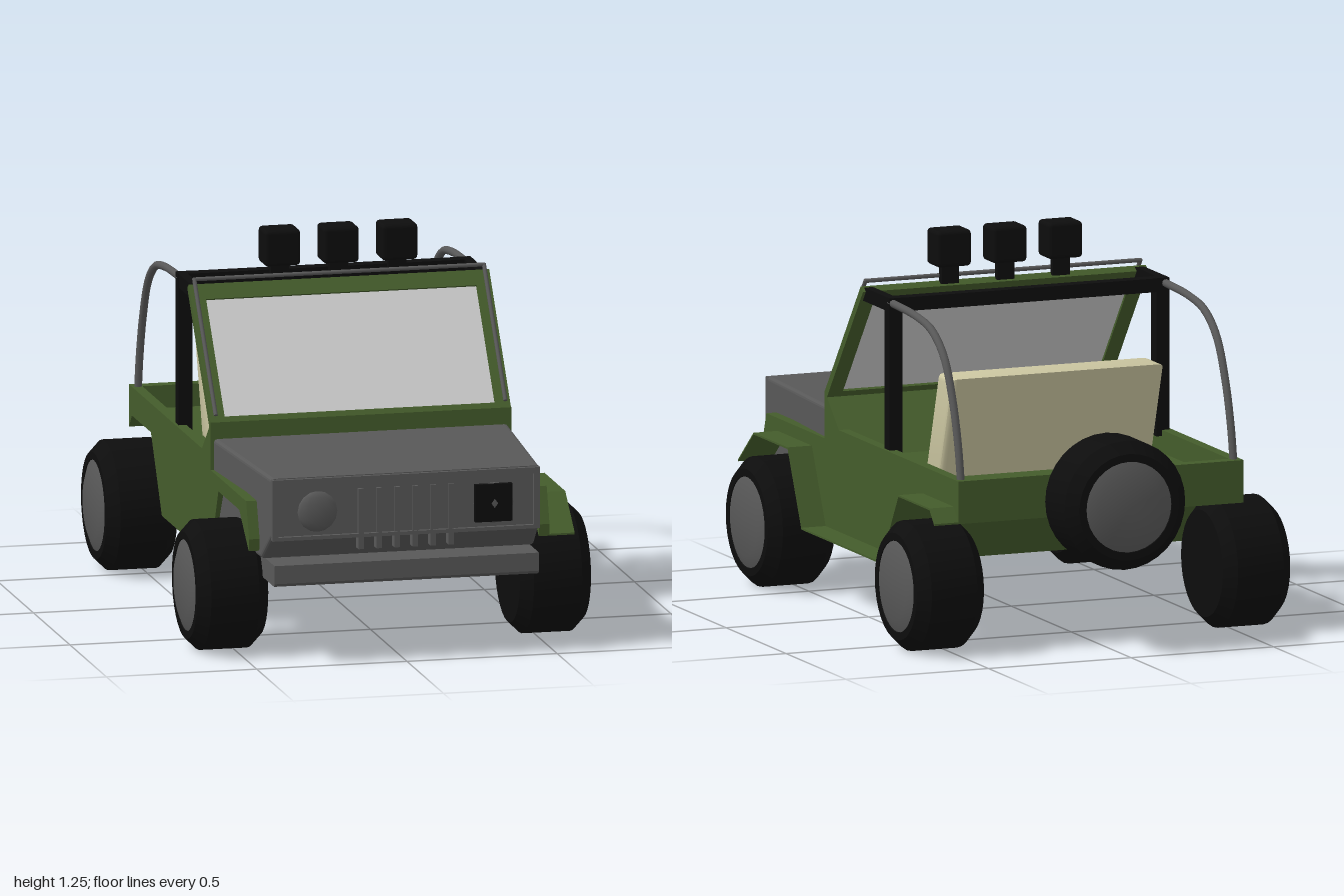
import * as THREE from 'three';
import { toCreasedNormals } from 'three/addons/utils/BufferGeometryUtils.js';
import { RoundedBoxGeometry } from 'three/addons/geometries/RoundedBoxGeometry.js';

const mat = (color) => new THREE.MeshStandardMaterial({ color, side: THREE.DoubleSide });
const green = mat(0x445c2b), grey = mat(0x585858), black = mat(0x0d0d0d);
const cream = mat(0xcac5a0), pane = mat(0xcccccc);

function add(parent, name, geometry, material, x = 0, y = 0, z = 0) {
  const mesh = new THREE.Mesh(geometry, material);
  mesh.name = name;
  mesh.position.set(x, y, z);
  parent.add(mesh);
  return mesh;
}

const box = (w, h, d) => new THREE.BoxGeometry(w, h, d);
const shapeOf = (pts) => new THREE.Shape(pts.map(([a, b]) => new THREE.Vector2(a, b)));
const rect = (w, y0, y1) => shapeOf([[-w, y0], [w, y0], [w, y1], [-w, y1]]);

// Extrudes a [z, y] side profile across x, centred on x = 0
function acrossX(pts, width, bevel = 0) {
  const g = new THREE.ExtrudeGeometry(shapeOf(pts), {
    depth: width - 2 * bevel, bevelEnabled: bevel > 0, bevelSize: bevel,
    bevelThickness: bevel, bevelOffset: -bevel, bevelSegments: 3,
  });
  g.translate(0, 0, -(width - 2 * bevel) / 2);
  return g.rotateY(-Math.PI / 2);
}

// Tyre and stepped hub; the axle lies along x with the hub on +x
function makeWheel(name) {
  const wheel = new THREE.Group();
  wheel.name = name;
  const lathe = (pts) => toCreasedNormals(
    new THREE.LatheGeometry(pts.map(([r, h]) => new THREE.Vector2(r, h)), 32).rotateZ(-Math.PI / 2), 0.5);
  add(wheel, 'tyre', lathe([[0, -0.118], [0.175, -0.118], [0.212, -0.08], [0.212, 0.08],
    [0.175, 0.118], [0.15, 0.118], [0.145, 0.105], [0, 0.105]]), black);
  add(wheel, 'hub', lathe([[0.152, 0.1], [0.15, 0.114], [0.11, 0.129], [0, 0.129]]), grey);
  return wheel;
}

function makeBody() {
  const body = new THREE.Group();
  body.name = 'body';
  const under = [[-0.75, 0.435], [-0.71, 0.48], [-0.45, 0.48], [-0.3, 0.235], [0.36, 0.235]];
  // Tub with floor, rear wall and sloped cowl
  add(body, 'tub', acrossX([...under, [0.37, 0.26], [0.37, 0.685], [0.17, 0.5], [-0.71, 0.5],
    [-0.71, 0.575], [-0.75, 0.575]], 0.95), green);
  // Side panels with wheel arches
  const arch = [...under, [0.475, 0.48], [0.76, 0.48], [0.89, 0.37]];
  for (const s of [-1, 1]) {
    add(body, 'sidePanel', acrossX([...arch, [0.895, 0.41], [0.855, 0.528], [0.37, 0.528],
      [0.37, 0.685], [0.25, 0.575], [-0.75, 0.575]], 0.035), green, s * 0.4825);
  }
  // Thin flare along the lower edge, on the left side only
  const t = 0.006;
  const upper = arch.map(([z, y]) => [z, y + t]).reverse();
  add(body, 'archFlare', acrossX([...arch, ...upper], 0.085), green, 0.5425);
  return body;
}

function makeNose() {
  const nose = new THREE.Group();
  nose.name = 'nose';
  // Bonnet narrows towards the front
  const g = acrossX([[0.36, 0.63], [0.98, 0.625], [0.98, 0.43], [0.87, 0.34], [0.42, 0.34],
    [0.36, 0.5]], 0.98, 0.012);
  const p = g.attributes.position;
  for (let i = 0; i < p.count; i++) {
    p.setX(i, p.getX(i) * (1 - 0.09 * (p.getZ(i) - 0.36) / 0.63));
  }
  g.computeVertexNormals();
  add(nose, 'bonnet', g, grey);
  // Grille surround with ribs
  const surround = rect(0.445, 0.42, 0.622);
  surround.holes.push(rect(0.425, 0.432, 0.602));
  add(nose, 'grilleSurround', new THREE.ExtrudeGeometry(surround, { depth: 0.025, bevelEnabled: false }),
    grey, 0, 0, 0.968);
  for (let i = 0; i < 6; i++) {
    add(nose, 'grilleRib', box(0.018, 0.2, 0.035), grey, -0.15 + i * 0.06, 0.48, 0.973);
  }
  for (const s of [-1, 1]) {
    const lamp = add(nose, 'headlight', new THREE.SphereGeometry(0.068, 12, 8), grey, s * 0.293, 0.51, 0.978);
    lamp.scale.z = 0.3;
  }
  add(nose, 'headlightCover', box(0.124, 0.124, 0.025), black, 0.29, 0.512, 0.985);
  add(nose, 'bumperTray', acrossX([[0.41, 0.27], [0.99, 0.27], [0.998, 0.28], [0.998, 0.34],
    [0.41, 0.34]], 0.88), grey);
  return nose;
}

function makeWindscreen() {
  // Built upright, then leaned back about its lower edge
  const screen = new THREE.Group();
  screen.name = 'windscreen';
  const h = 0.5;
  const frame = rect(0.5, 0, h);
  frame.holes.push(rect(0.45, 0.025, h - 0.055));
  add(screen, 'windscreenFrame', new THREE.ExtrudeGeometry(frame, { depth: 0.025, bevelEnabled: false }),
    green, 0, 0, -0.025);
  add(screen, 'glass', box(0.9, h - 0.08, 0.008), pane, 0, h / 2 - 0.015, -0.012);
  for (const s of [-1, 1]) {
    add(screen, 'frameRod', new THREE.CylinderGeometry(0.007, 0.007, h - 0.01, 8), grey, s * 0.482, h / 2 + 0.02, 0.012);
  }
  add(screen, 'topRod', new THREE.CylinderGeometry(0.007, 0.007, 0.97, 8).rotateZ(Math.PI / 2), grey, 0, h + 0.012, 0.012);
  screen.position.set(0, 0.68, 0.37);
  screen.rotation.x = -Math.atan2(0.3, 0.395);
  return screen;
}

function makeRollCage() {
  const cage = new THREE.Group();
  cage.name = 'rollCage';
  add(cage, 'crossBar', box(0.98, 0.045, 0.045), black, 0, 1.052, -0.13);
  const hoop = new THREE.CatmullRomCurve3([[-0.13, 1.058], [-0.35, 1.048], [-0.48, 1.022], [-0.58, 0.95],
    [-0.65, 0.82], [-0.695, 0.68], [-0.72, 0.55]].map(([z, y]) => new THREE.Vector3(0, y, z)));
  for (const s of [-1, 1]) {
    add(cage, 'post', box(0.045, 0.52, 0.045), black, s * 0.468, 0.815, -0.13);
    add(cage, 'roofRail', acrossX([[0.09, 1.03], [0.06, 1.075], [-0.15, 1.075], [-0.15, 1.03]], 0.03), black, s * 0.475);
    add(cage, 'rearHoop', new THREE.TubeGeometry(hoop, 32, 0.013, 10), grey, s * 0.478);
  }
  return cage;
}

export function createModel() {
  const model = new THREE.Group();
  model.name = 'offRoader';
  model.add(makeBody(), makeNose(), makeWindscreen(), makeRollCage());

  // Bench seat
  add(model, 'seat', toCreasedNormals(acrossX([[-0.16, 0.49], [-0.268, 0.84], [-0.395, 0.84], [-0.285, 0.49]],
    0.745, 0.02), 0.6), cream);

  // Roof lamps
  for (const x of [-0.195, 0, 0.195]) {
    add(model, 'roofLamp', new RoundedBoxGeometry(0.12, 0.12, 0.1, 2, 0.014), black, x, 1.19, 0.055);
    add(model, 'lampStem', box(0.06, 0.07, 0.022), black, x, 1.105, 0.055);
  }

  // Road wheels and the spare on the tail
  for (const s of [-1, 1]) {
    for (const [name, z] of [['frontWheel', 0.65], ['rearWheel', -0.595]]) {
      const wheel = makeWheel(name);
      wheel.position.set(s * 0.537, 0.215, z);
      if (s < 0) wheel.rotation.y = Math.PI;
      model.add(wheel);
    }
  }
  const spare = makeWheel('spareWheel');
  spare.position.set(0, 0.495, -0.868);
  spare.rotation.y = Math.PI / 2;
  model.add(spare);
  return model;
}
